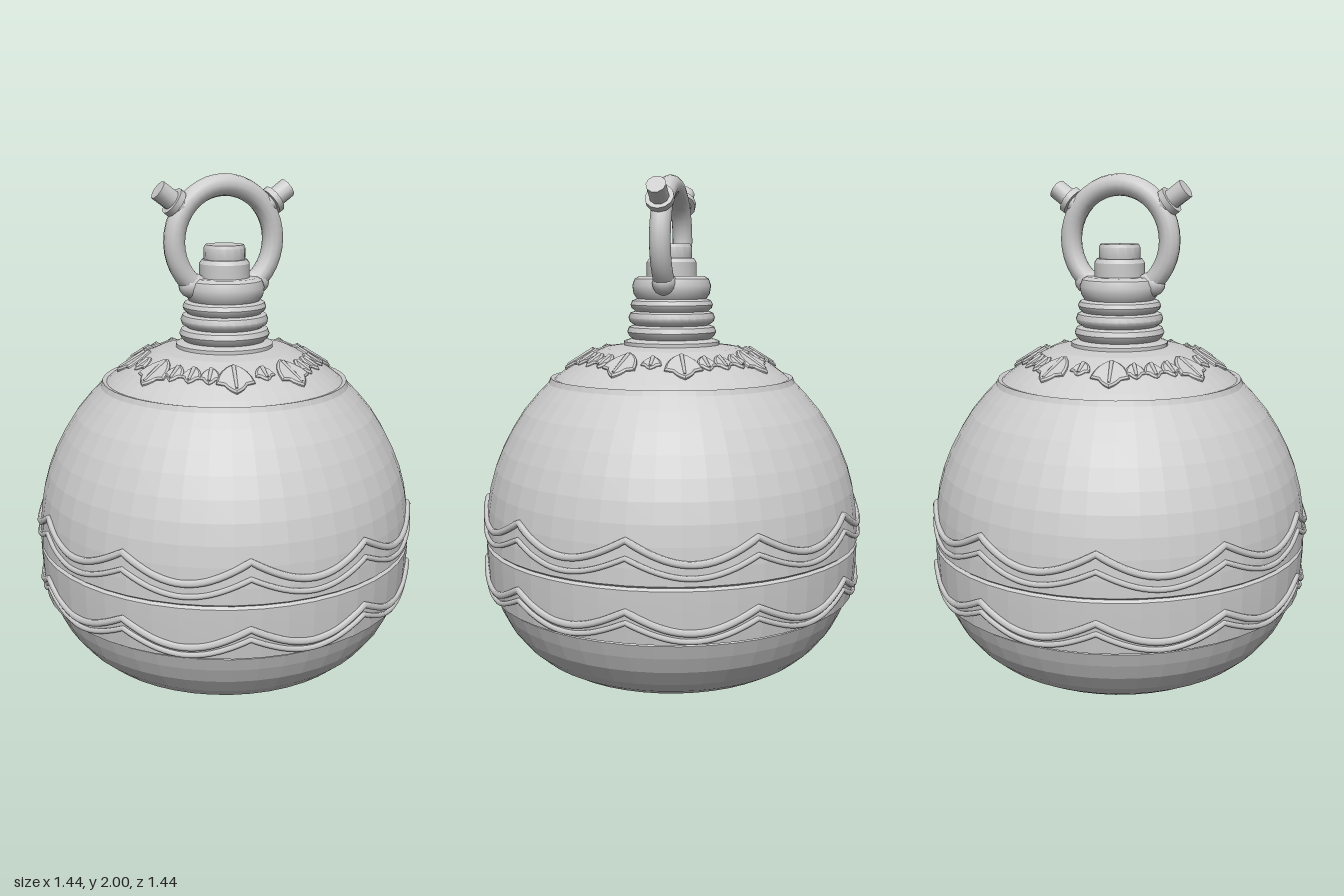
import * as THREE from 'three';
import { toCreasedNormals } from 'three/addons/utils/BufferGeometryUtils.js';

const metal = new THREE.MeshStandardMaterial({ color: 0xcccccc });
metal.name = 'pale grey metal';

// Body profile as [radius, height], from the underside to the neck
const PROFILE = [
  [0.001, 0.115], [0.12, 0.125], [0.3, 0.16], [0.48, 0.2], [0.53, 0.23], [0.58, 0.275],
  [0.63, 0.34], [0.66, 0.4], [0.68, 0.452], [0.672, 0.457], [0.696, 0.463], [0.703, 0.52],
  [0.707, 0.6], [0.708, 0.647], [0.698, 0.655], [0.708, 0.663], [0.706, 0.72], [0.699, 0.79],
  [0.687, 0.86], [0.667, 0.93], [0.638, 1.0], [0.601, 1.07], [0.556, 1.14], [0.505, 1.2],
  [0.463, 1.243], [0.455, 1.262], [0.44, 1.258], [0.42, 1.275], [0.37, 1.312], [0.31, 1.347],
  [0.25, 1.372], [0.16, 1.385], [0.1, 1.39],
];

function bodyRadius(y) {
  for (let i = 1; i < PROFILE.length; i++) {
    const [r0, y0] = PROFILE[i - 1], [r1, y1] = PROFILE[i];
    if (y >= y0 && y <= y1) return r0 + (r1 - r0) * (y - y0) / (y1 - y0);
  }
  return 0.1;
}

function add(parent, name, geometry, x = 0, y = 0, z = 0) {
  const mesh = new THREE.Mesh(geometry, metal);
  mesh.name = name;
  mesh.position.set(x, y, z);
  parent.add(mesh);
  return mesh;
}

function lathe(points, segments, crease) {
  const g = new THREE.LatheGeometry(points.map(([r, y]) => new THREE.Vector2(r, y)), segments);
  return toCreasedNormals(g, crease);
}

// Closed scalloped path that follows the body surface
class ScallopCurve extends THREE.Curve {
  constructor(low, height) {
    super();
    this.low = low;
    this.height = height;
  }
  getPoint(t, target = new THREE.Vector3()) {
    const a = t * Math.PI * 2;
    const y = this.low + this.height * (1 - Math.abs(Math.cos(a * 5)));
    const r = bodyRadius(y) + 0.001;
    return target.set(Math.sin(a) * r, y, Math.cos(a) * r);
  }
}

// Lobed leaf, narrow at the inner end and pointed at the outer end
function leafGeometry(length, width) {
  const s = new THREE.Shape();
  s.moveTo(0, -length / 2);
  s.quadraticCurveTo(width * 0.4, -length * 0.3, width * 0.5, length * 0.15);
  s.lineTo(width * 0.28, length * 0.22);
  s.quadraticCurveTo(width * 0.2, length * 0.4, 0, length / 2);
  s.quadraticCurveTo(-width * 0.2, length * 0.4, -width * 0.28, length * 0.22);
  s.lineTo(-width * 0.5, length * 0.15);
  s.quadraticCurveTo(-width * 0.4, -length * 0.3, 0, -length / 2);
  return new THREE.ExtrudeGeometry(s, {
    depth: 0.008, bevelEnabled: true, bevelThickness: 0.006, bevelSize: 0.006,
    bevelSegments: 1, curveSegments: 4,
  });
}

function addLeaf(parent, angle, r, length, width) {
  const pivot = new THREE.Group();
  pivot.name = 'leafOrnament';
  pivot.rotation.y = angle;
  const leaf = new THREE.Group();
  // Lay the leaf along the sloping shoulder
  const y = 1.312 + (0.37 - r) * 0.58;
  leaf.position.set(0, y - 0.006, r);
  leaf.rotation.x = Math.PI / 2 + 0.53;
  leaf.scale.z = -1;
  // The shape is symmetric, so turning it over keeps its front faces outward
  leaf.scale.z = 1;
  leaf.rotation.set(-Math.PI / 2 + 0.53, 0, 0);
  const blade = add(leaf, 'leafBlade', leafGeometry(length, width));
  blade.rotation.z = Math.PI;
  const vein = add(leaf, 'leafVein', new THREE.CylinderGeometry(0.005, 0.008, length * 0.85, 6), 0, 0, 0.014);
  vein.rotation.z = Math.PI;
  pivot.add(leaf);
  parent.add(pivot);
}

export function createModel() {
  const model = new THREE.Group();
  model.name = 'ornamentalBell';

  // Faceted round body
  add(model, 'body', lathe(PROFILE, 48, 0.06));

  // Raised scalloped trims above and below the waist seam
  for (const [low, height, radius] of [
    [0.475, 0.062, 0.01], [0.505, 0.07, 0.013], [0.69, 0.062, 0.01], [0.735, 0.075, 0.013],
  ]) {
    add(model, 'scallopTrim', new THREE.TubeGeometry(new ScallopCurve(low, height), 200, radius, 6, true));
  }

  // Leaf wreath on the shoulder
  for (let i = 0; i < 4; i++) {
    const quarter = i * Math.PI / 2;
    for (const side of [-1, 1]) addLeaf(model, quarter + side * 0.33, 0.335, 0.13, 0.12);
    for (const k of [-1, 0, 1]) addLeaf(model, quarter + Math.PI / 4 + k * 0.2, 0.325, 0.07, 0.06);
    addLeaf(model, quarter, 0.32, 0.06, 0.06);
  }

  // Neck with stacked rings and a rounded collar
  add(model, 'neck', lathe([
    [0.18, 1.375], [0.18, 1.395], [0.15, 1.405], [0.16, 1.415], [0.167, 1.43], [0.16, 1.448],
    [0.14, 1.455], [0.157, 1.467], [0.162, 1.482], [0.155, 1.5], [0.137, 1.506], [0.15, 1.518],
    [0.154, 1.53], [0.147, 1.545], [0.13, 1.552], [0.142, 1.57], [0.147, 1.6], [0.138, 1.625],
    [0.12, 1.635], [0.001, 1.636],
  ], 32, 0.7));

  // Bolt on top of the collar
  add(model, 'boltBase', lathe([
    [0.001, 1.62], [0.093, 1.62], [0.093, 1.685], [0.083, 1.7], [0.001, 1.7],
  ], 20, 0.5));
  add(model, 'boltHead', lathe([
    [0.001, 1.69], [0.073, 1.69], [0.076, 1.705], [0.076, 1.74], [0.07, 1.752], [0.001, 1.752],
  ], 16, 0.5));

  // Hanging ring with two studs
  const ring = new THREE.Group();
  ring.name = 'hangingRing';
  ring.position.y = 1.765;
  add(ring, 'ringLoop', new THREE.TorusGeometry(0.196, 0.039, 12, 40));
  for (const side of [-1, 1]) {
    const stud = new THREE.Group();
    stud.name = side > 0 ? 'leftStud' : 'rightStud';
    stud.rotation.z = -side * 0.95;
    add(stud, 'studFlange', new THREE.CylinderGeometry(0.052, 0.052, 0.022, 12), 0, 0.238, 0);
    add(stud, 'studPin', toCreasedNormals(new THREE.CylinderGeometry(0.036, 0.036, 0.13, 10), 0.7), 0, 0.248, 0);
    ring.add(stud);
  }
  model.add(ring);

  // Shoulders joining the ring to the collar
  for (const side of [-1, 1]) {
    const joint = add(model, 'ringJoint', new THREE.SphereGeometry(0.05, 12, 8), side * 0.125, 1.61, 0);
    joint.scale.set(1.1, 0.9, 0.9);
  }

  // Round knob beneath the body
  add(model, 'bottomKnob', new THREE.SphereGeometry(0.114, 20, 12), 0, 0.1, 0).scale.y = 0.1 / 0.114;

  return model;
}
